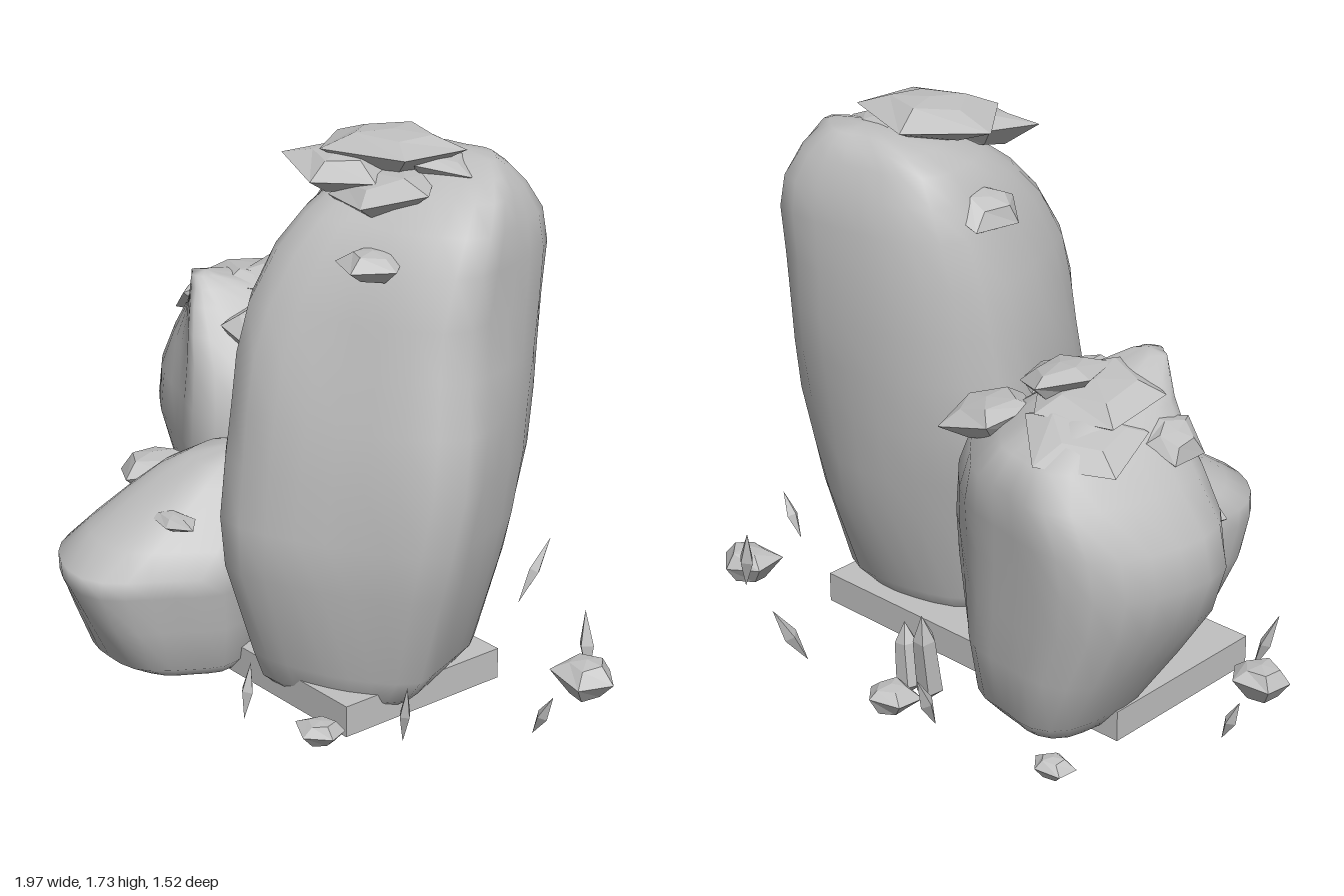
import * as THREE from 'three';

const stone = new THREE.MeshStandardMaterial({ color: 0xc0c0c0 });
stone.name = 'grey stone';
const chipStone = new THREE.MeshStandardMaterial({ color: 0xc0c0c0, flatShading: true });
chipStone.name = 'grey faceted stone';

// Boulder: one footprint outline fitted to the box [y, x0, x1, z0, z1] of each ring;
// the optional sixth value swells the back left corner of that ring
function boulder(name, outline, rings) {
  const N = 28, pos = [], index = [];
  const curve = new THREE.CatmullRomCurve3(outline.map(([x, z]) => new THREE.Vector3(x, 0, z)), true);
  const pts = curve.getSpacedPoints(N).slice(0, N);
  const box = new THREE.Box3().setFromPoints(pts), size = box.getSize(new THREE.Vector3());
  for (const [y, x0, x1, z0, z1, corner = 0] of rings) {
    for (const p of pts) {
      const u = (p.x - box.min.x) / size.x, v = (p.z - box.min.z) / size.z;
      const lump = 0.01 * Math.sin(y * 7 + u * 9) * Math.sin(v * 8 + y * 3);
      const swell = corner * Math.max(0, u - 0.5) * Math.max(0, 0.5 - v) * 4;
      pos.push(x0 + u * (x1 - x0) + lump * (u - 0.5) * 2 + swell, y,
        z0 + v * (z1 - z0) + lump * (v - 0.5) * 2 - swell);
    }
  }
  for (let i = 0; i < rings.length - 1; i++) {
    for (let j = 0; j < N; j++) {
      const a = i * N + j, b = i * N + (j + 1) % N;
      index.push(a, a + N, b + N, a, b + N, b);
    }
  }
  // close both ends with a centre point
  [rings[0], rings[rings.length - 1]].forEach(([y, x0, x1, z0, z1], top) => {
    const c = pos.length / 3, s = top ? (rings.length - 1) * N : 0;
    pos.push((x0 + x1) / 2, y + (top ? 0.012 : -0.012), (z0 + z1) / 2);
    for (let j = 0; j < N; j++) {
      const a = s + j, b = s + (j + 1) % N;
      if (top) index.push(c, b, a); else index.push(c, a, b);
    }
  });
  const geo = new THREE.BufferGeometry();
  geo.setAttribute('position', new THREE.Float32BufferAttribute(pos, 3));
  geo.setIndex(index);
  geo.computeVertexNormals();
  const mesh = new THREE.Mesh(geo, stone);
  mesh.name = name;
  return mesh;
}

// Faceted chip: a five-sided stone with a wide rim, slightly irregular
function chip(name, [x, y, z, rx, h, rz, turn = 0, tiltX = 0, tiltZ = 0]) {
  const profile = [[0, -1], [0.55, -0.75], [1.08, 0.2], [0.6, 0.85], [0, 1]].map(p => new THREE.Vector2(...p));
  const geo = new THREE.LatheGeometry(profile, 5);
  const p = geo.attributes.position;
  for (let i = 0; i < p.count; i++) {
    const a = p.getX(i), b = p.getY(i), c = p.getZ(i);
    const k = 1 + 0.1 * Math.sin(a * 5 + c * 3 + b * 4 + x * 20);
    p.setXYZ(i, a * k, b + 0.15 * Math.sin(a * 4 - c * 3 + z * 15) * Math.hypot(a, c), c * k);
  }
  geo.rotateY(turn);
  geo.scale(rx, h, rz);
  geo.computeVertexNormals();
  const mesh = new THREE.Mesh(geo, chipStone);
  mesh.name = name;
  mesh.position.set(x, y, z);
  mesh.rotation.set(tiltX, 0, tiltZ);
  return mesh;
}

// Thin upright shard, centred at x, y, z
function shard([x, y, z, h, wx, wz, tiltX = 0, tiltZ = 0]) {
  const mesh = new THREE.Mesh(new THREE.OctahedronGeometry(1), chipStone);
  mesh.name = 'shard';
  mesh.scale.set(wx, h / 2, wz);
  mesh.position.set(x, y, z);
  mesh.rotation.set(tiltX, 0, tiltZ);
  return mesh;
}

// Blunt five-sided crystal growing from its foot
function crystal([x, z, h, r, tiltX, tiltZ]) {
  const profile = [[0, 0], [r, h * 0.12], [r * 0.85, h * 0.72], [0, h]].map(p => new THREE.Vector2(...p));
  const mesh = new THREE.Mesh(new THREE.LatheGeometry(profile, 5), chipStone);
  mesh.name = 'crystal';
  mesh.position.set(x, 0.005, z);
  mesh.rotation.set(tiltX, 0, tiltZ);
  return mesh;
}

export function createModel() {
  const group = new THREE.Group();
  group.name = 'rockCluster';

  // Ground slab
  const slab = new THREE.Mesh(new THREE.BoxGeometry(1.24, 0.1, 0.61), chipStone);
  slab.name = 'baseSlab';
  slab.position.set(-0.07, 0.051, 0.018);
  group.add(slab);

  // Three boulders
  group.add(boulder('tallBoulder',
    [[-0.13, -0.2], [0, -0.35], [0.25, -0.44], [0.45, -0.43], [0.58, -0.36], [0.68, -0.2], [0.79, 0.1],
      [0.73, 0.18], [0.55, 0.3], [0.2, 0.45], [0.09, 0.43], [0, 0.3], [-0.1, 0.05]],
    [[0.035, 0.1, 0.54, -0.14, 0.31], [0.07, 0.04, 0.59, -0.2, 0.35], [0.15, 0.0, 0.64, -0.26, 0.38, 0.03],
      [0.45, -0.08, 0.74, -0.35, 0.46, 0.03], [0.6, -0.12, 0.77, -0.38, 0.46, 0.03],
      [0.78, -0.14, 0.79, -0.41, 0.44, 0.03], [0.95, -0.135, 0.78, -0.43, 0.41, 0.04],
      [1.1, -0.12, 0.755, -0.44, 0.38, 0.06], [1.25, -0.095, 0.735, -0.44, 0.34, 0.07],
      [1.4, -0.05, 0.725, -0.435, 0.27, 0.07], [1.5, -0.01, 0.7, -0.42, 0.18, 0.06],
      [1.58, 0.04, 0.66, -0.385, 0.07, 0.03], [1.625, 0.12, 0.6, -0.36, -0.04], [1.655, 0.22, 0.52, -0.32, -0.17]]));
  group.add(boulder('leftBoulder',
    [[-0.94, -0.1], [-0.9, -0.4], [-0.82, -0.53], [-0.7, -0.58], [-0.5, -0.56], [-0.33, -0.53], [-0.1, -0.37],
      [-0.02, -0.27], [-0.12, -0.05], [-0.23, 0.15], [-0.35, 0.2], [-0.55, 0.13], [-0.75, 0.05]],
    [[0.03, -0.63, -0.22, -0.46, -0.03], [0.1, -0.69, -0.17, -0.525, 0.03], [0.28, -0.8, -0.1, -0.555, 0.13],
      [0.45, -0.9, -0.06, -0.565, 0.17], [0.6, -0.94, -0.04, -0.575, 0.2], [0.73, -0.92, -0.05, -0.58, 0.19],
      [0.86, -0.84, -0.12, -0.585, 0.17], [0.95, -0.76, -0.24, -0.53, 0.14], [1.03, -0.68, -0.35, -0.37, 0.11],
      [1.08, -0.62, -0.41, -0.18, 0.09], [1.115, -0.57, -0.47, -0.03, 0.07]]));
  group.add(boulder('frontBoulder',
    [[-0.49, 0.45], [-0.46, 0.33], [-0.3, 0.15], [-0.2, 0.03], [-0.1, 0], [0.03, 0.2], [0.1, 0.42],
      [0.01, 0.6], [-0.1, 0.73], [-0.2, 0.76], [-0.38, 0.71], [-0.47, 0.6]],
    [[0.012, -0.38, 0.0, 0.12, 0.56], [0.06, -0.43, 0.05, 0.08, 0.64], [0.2, -0.475, 0.07, 0.03, 0.7],
      [0.33, -0.485, 0.09, 0, 0.76], [0.39, -0.485, 0.1, 0, 0.765], [0.46, -0.455, 0.09, 0, 0.66],
      [0.55, -0.4, 0.07, 0, 0.53], [0.62, -0.34, 0.045, 0.01, 0.43], [0.67, -0.26, 0.01, 0.04, 0.35],
      [0.69, -0.18, -0.04, 0.1, 0.27]]));

  // Flat chips crowning and ledging the boulders
  [
    [0.21, 1.62, 0.07, 0.18, 0.06, 0.13, 0.2, 0.05, -0.06], [0.275, 1.67, -0.07, 0.23, 0.06, 0.18, 0.9],
    [0.35, 1.57, 0.03, 0.16, 0.06, 0.15, 0.4, 0.2, 0.1], [0.38, 1.63, -0.15, 0.14, 0.045, 0.12, 0.2, -0.1, -0.1],
    [0.47, 1.41, 0.17, 0.105, 0.045, 0.1, 0.3], [0.0, 1.45, -0.12, 0.09, 0.055, 0.12, 0.1, 0, 0.4],
  ].forEach(c => group.add(chip('tallBoulderChip', c)));
  [
    [-0.52, 1.04, -0.2, 0.2, 0.06, 0.2, 0.3, -0.15, 0], [-0.28, 0.96, -0.04, 0.14, 0.075, 0.15, 0.6, 0.1, -0.3],
    [-0.22, 0.93, -0.33, 0.15, 0.06, 0.15, 0.1, -0.1, -0.2], [-0.42, 1.08, -0.24, 0.13, 0.05, 0.14, 0.8, -0.05, -0.2],
    [-0.74, 0.95, -0.14, 0.09, 0.05, 0.1, 0.4, 0, 0.6], [-0.6, 0.98, -0.34, 0.17, 0.05, 0.17, 0.5, -0.2, 0.2],
    [-0.5, 0.5, 0.25, 0.125, 0.065, 0.12, 0.2, 0.1, 0.1],
  ].forEach(c => group.add(chip('leftBoulderChip', c)));
  group.add(chip('frontBoulderChip', [-0.05, 0.54, 0.5, 0.1, 0.025, 0.045, 0.2, 0.1, 0.05]));

  // Loose pebbles around the foot
  [
    [-0.86, 0.07, 0.18, 0.095, 0.06, 0.085, 0.2], [0.83, 0.075, -0.39, 0.105, 0.065, 0.09, 0.5],
    [0.55, 0.05, 0.42, 0.075, 0.04, 0.065, 0.1], [-0.1, 0.06, -0.64, 0.085, 0.05, 0.075, 0.4],
    [-0.69, 0.045, -0.57, 0.065, 0.035, 0.05, 0.3],
  ].forEach(c => group.add(chip('pebble', c)));

  // Shards and crystals standing in the ground
  [
    [-0.79, 0.13, 0.29, 0.23, 0.02, 0.025, 0.1, 0.35], [-0.95, 0.09, -0.08, 0.16, 0.02, 0.025, 0, 0.4],
    [0.29, 0.105, 0.49, 0.18, 0.025, 0.02, -0.15, 0], [0.75, 0.14, 0.27, 0.2, 0.02, 0.02, 0.1, -0.2],
    [0.76, 0.14, -0.46, 0.22, 0.03, 0.025, -0.1, 0.2], [0.95, 0.1, -0.09, 0.17, 0.02, 0.022, 0, -0.5],
    [-0.3, 0.15, -0.69, 0.22, 0.02, 0.025, -0.45, 0.1], [0.28, 0.15, -0.7, 0.24, 0.02, 0.025, -0.5, -0.1],
  ].forEach(s => group.add(shard(s)));
  [[-0.12, -0.49, 0.32, 0.042, -0.18, 0.06], [-0.05, -0.51, 0.23, 0.042, 0.05, -0.15]]
    .forEach(c => group.add(crystal(c)));

  return group;
}
